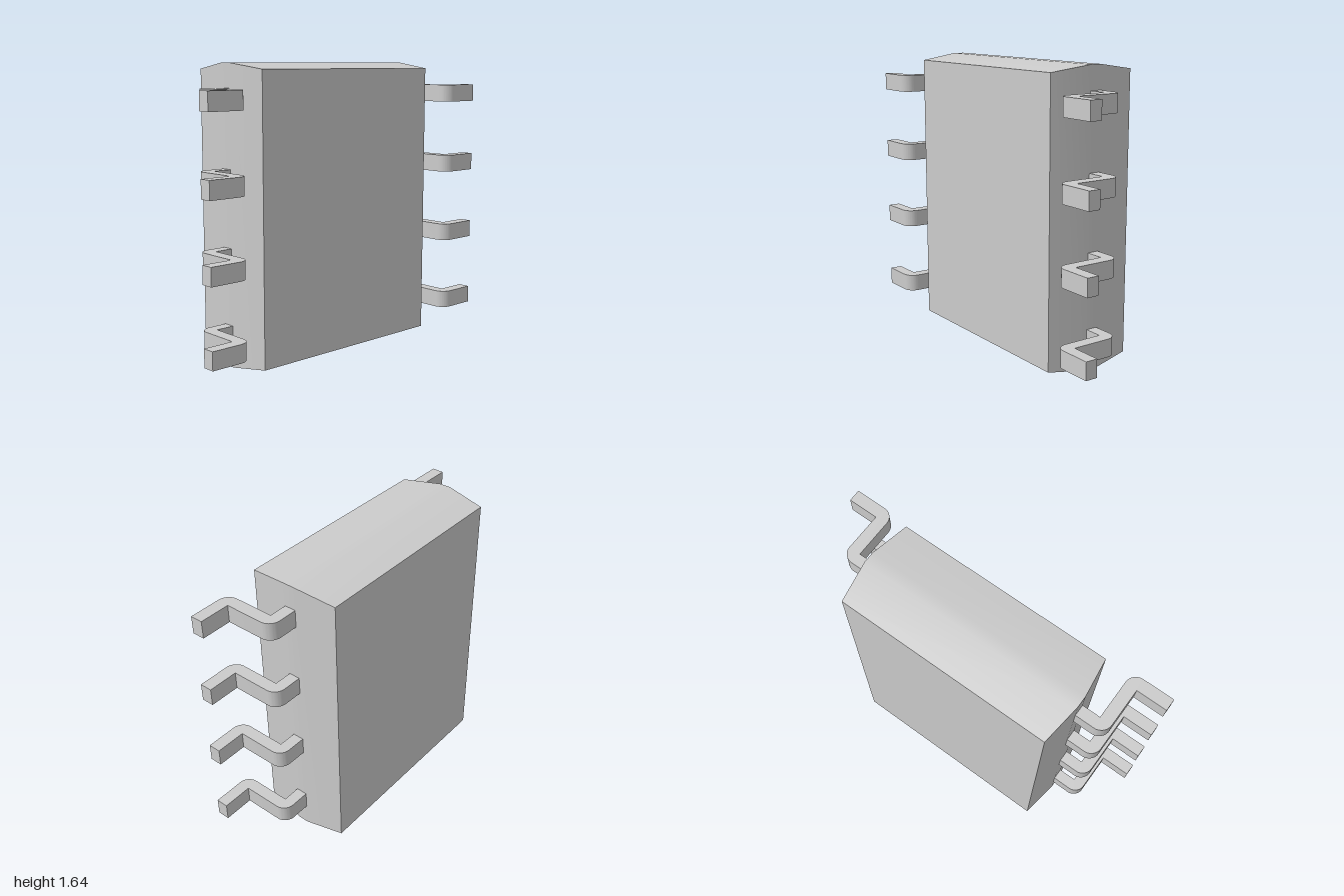
import * as THREE from 'three';
import { toCreasedNormals } from 'three/addons/utils/BufferGeometryUtils.js';

const material = new THREE.MeshStandardMaterial({ color: 0xcccccc });
const CENTER_Y = 0.82;

// Rectangular rings lofted from back to front: [z, half width, half height]
function bodyGeometry() {
  const rings = [
    [-0.295, 0.62, 0.785],
    [-0.065, 0.652, 0.818],
    [0, 0.652, 0.818],
    [0.232, 0.62, 0.785],
  ];
  const positions = [];
  for (const [z, w, h] of rings) positions.push(-w, -h, z, w, -h, z, w, h, z, -w, h, z);
  const index = [0, 2, 1, 0, 3, 2]; // back cap
  for (let r = 0; r < rings.length - 1; r++) {
    for (let i = 0; i < 4; i++) {
      const a = r * 4 + i, b = r * 4 + (i + 1) % 4;
      index.push(a, b, b + 4, a, b + 4, a + 4);
    }
  }
  const f = (rings.length - 1) * 4;
  index.push(f, f + 1, f + 2, f, f + 2, f + 3); // front cap
  const geometry = new THREE.BufferGeometry();
  geometry.setAttribute('position', new THREE.Float32BufferAttribute(positions, 3));
  geometry.setIndex(index);
  return toCreasedNormals(geometry, 0.5);
}

// Z-bent pin: outline in x and -z, extruded along y; outer bends are rounded
function pinGeometry(height) {
  const r = 0.065;
  const s = new THREE.Shape();
  s.moveTo(0.63, 0);
  s.lineTo(0.755, 0);
  s.lineTo(0.755, -0.292 + r);
  s.absarc(0.755 + r, -0.292 + r, r, Math.PI, Math.PI * 1.5, false);
  s.lineTo(1, -0.292);
  s.lineTo(1, -0.222);
  s.lineTo(0.825, -0.222);
  s.lineTo(0.825, 0.065 - r);
  s.absarc(0.825 - r, 0.065 - r, r, 0, Math.PI / 2, false);
  s.lineTo(0.63, 0.065);
  s.closePath();
  const geometry = new THREE.ExtrudeGeometry(s, { depth: height, bevelEnabled: false, curveSegments: 8 });
  geometry.translate(0, 0, -height / 2);
  geometry.rotateX(-Math.PI / 2);
  return toCreasedNormals(geometry, 0.6);
}

export function createModel() {
  const model = new THREE.Group();
  model.name = 'chipPackage';

  const body = new THREE.Mesh(bodyGeometry(), material);
  body.name = 'body';
  body.position.y = CENTER_Y;
  model.add(body);

  // Four pins on each side; a half turn about z mirrors a pin
  const pin = pinGeometry(0.1);
  for (const side of ['left', 'right']) {
    for (let i = 0; i < 4; i++) {
      const mesh = new THREE.Mesh(pin, material);
      mesh.name = `${side}Pin${i + 1}`;
      mesh.position.y = CENTER_Y + (i - 1.5) * 0.424;
      if (side === 'right') mesh.rotation.z = Math.PI;
      model.add(mesh);
    }
  }
  return model;
}
